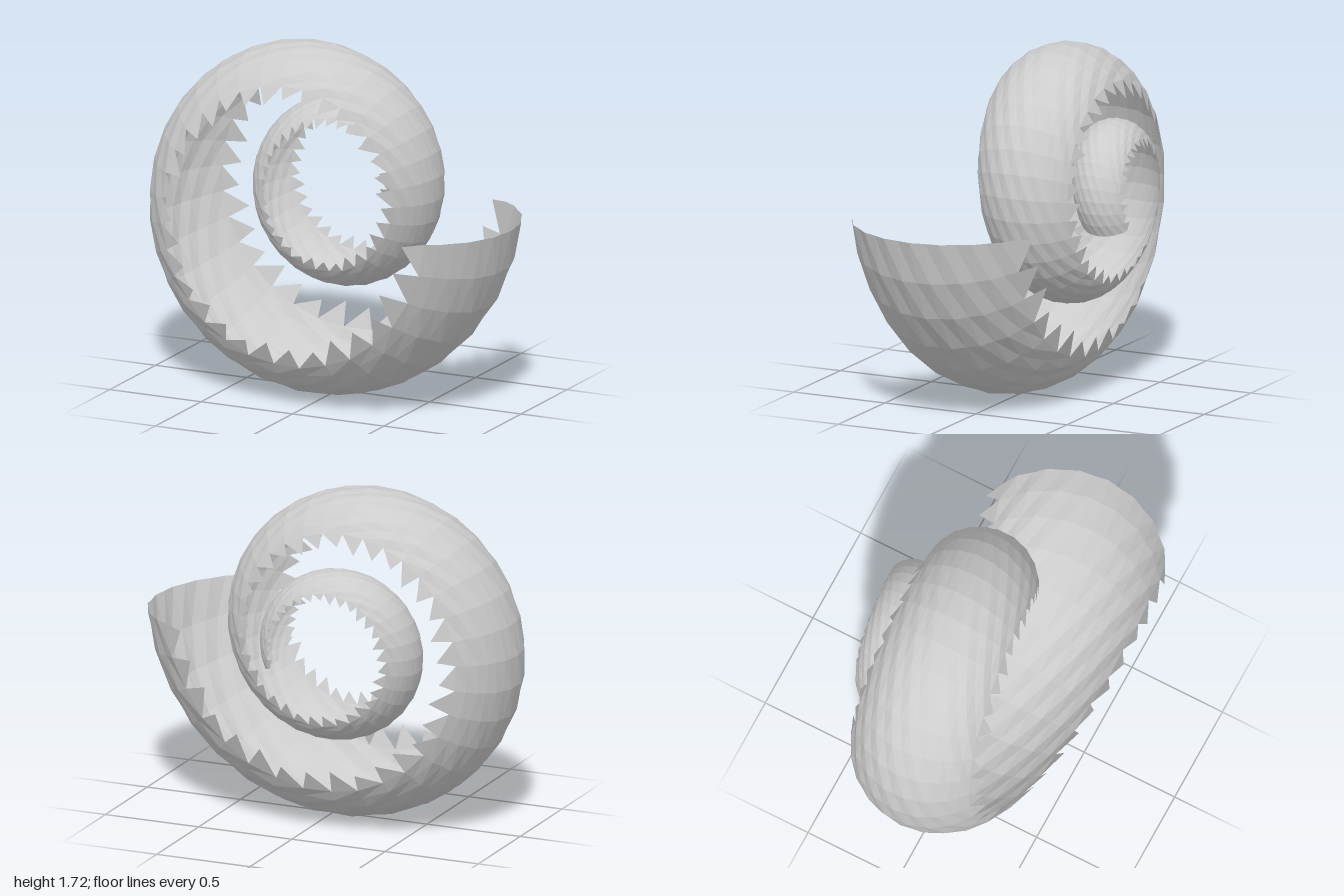
import * as THREE from 'three';

const TURNS = 2.06, SHRINK = 0.53, RINGS = 68, ACROSS = 14;
const HALF = THREE.MathUtils.degToRad(58), TOOTH = THREE.MathUtils.degToRad(72);

// Point on the shell: t in turns from the mouth, a = angle across the open tube
function shellPoint(t, a, bump = 0) {
  const s = SHRINK ** t;
  const tube = s * (0.53 + bump);
  const reach = s * 0.625 + tube * Math.cos(a);
  const th = t * Math.PI * 2;
  return [
    -0.155 + reach * Math.cos(th),
    0.995 - reach * Math.sin(th),
    0.11 - 0.29 * t + tube * Math.sin(a),
  ];
}

// Grid vertex; alternate vertices are raised for a faceted, scaly relief
function gridPoint(i, j) {
  const t = 0.005 + (TURNS * i) / RINGS;
  const a = HALF * ((2 * j) / ACROSS - 1);
  return shellPoint(t, a, (i + j) % 2 ? 0.005 : -0.003);
}

function toMesh(points, name) {
  const g = new THREE.BufferGeometry();
  g.setAttribute('position', new THREE.Float32BufferAttribute(points, 3));
  g.computeVertexNormals();
  const mesh = new THREE.Mesh(g, new THREE.MeshStandardMaterial({
    color: 0xcccccc, flatShading: true, side: THREE.DoubleSide,
  }));
  mesh.name = name;
  return mesh;
}

export function createModel() {
  const group = new THREE.Group();
  group.name = 'spiralShell';

  // Coiled open tube, its hollow side facing the axis
  const body = [];
  for (let i = 0; i < RINGS; i++) {
    for (let j = 0; j < ACROSS; j++) {
      const a = gridPoint(i, j), b = gridPoint(i, j + 1);
      const c = gridPoint(i + 1, j + 1), d = gridPoint(i + 1, j);
      body.push(...a, ...b, ...d, ...b, ...c, ...d);
    }
  }
  group.add(toMesh(body, 'shellBody'));

  // Saw teeth along both inner edges, leaning toward the mouth
  for (const side of [1, -1]) {
    const teeth = [];
    const j = side > 0 ? ACROSS : 0;
    for (let i = 0; i < RINGS; i++) {
      const p = gridPoint(i, j), q = gridPoint(i + 1, j);
      const t = 0.005 + (TURNS * (i + 0.1)) / RINGS;
      const tip = shellPoint(t, side * (TOOTH + (i % 3 - 1) * 0.04));
      if (side > 0) teeth.push(...p, ...tip, ...q);
      else teeth.push(...p, ...q, ...tip);
    }
    group.add(toMesh(teeth, side > 0 ? 'frontTeeth' : 'backTeeth'));
  }
  return group;
}
